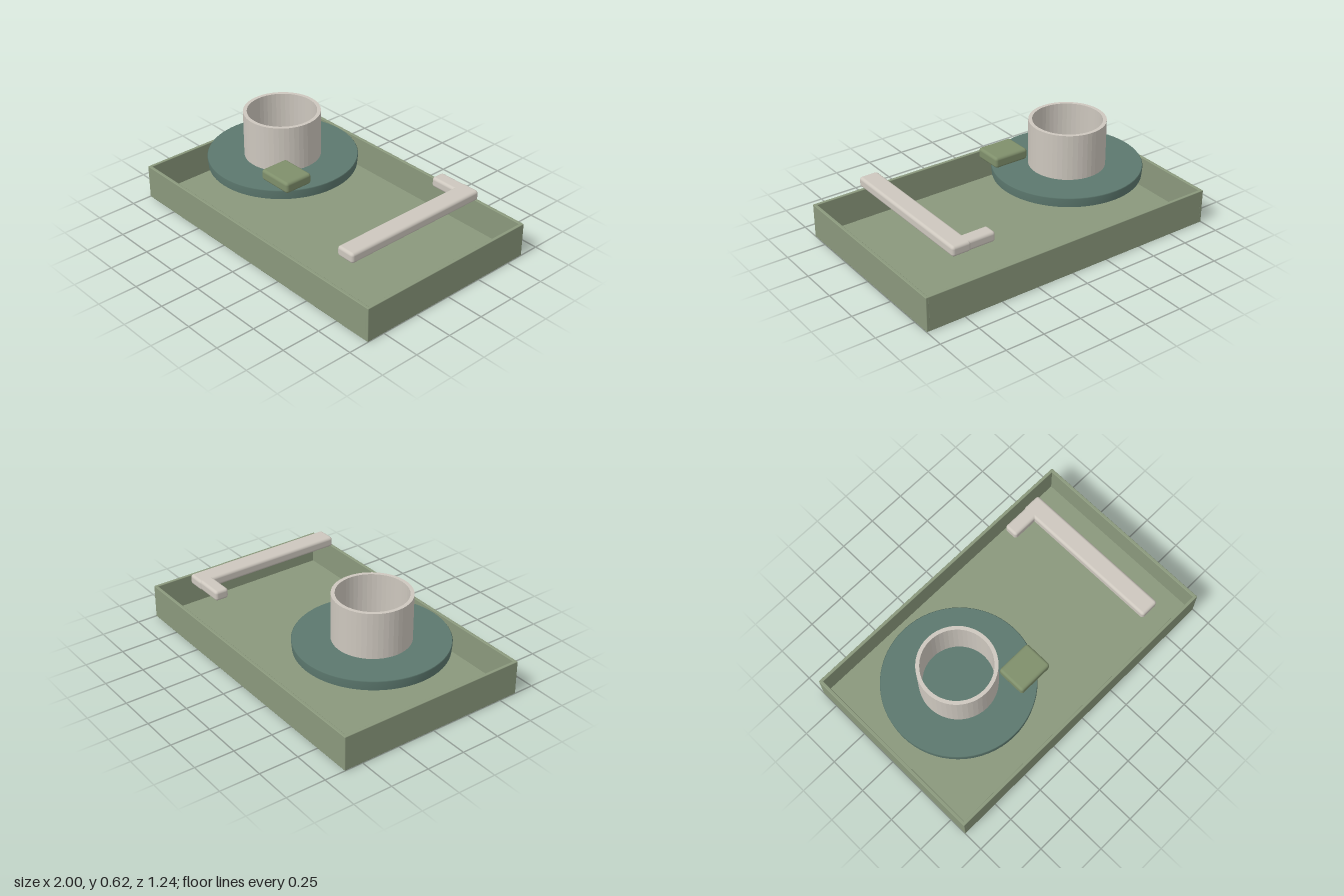
import * as THREE from 'three';
import { RoundedBoxGeometry } from 'three/addons/geometries/RoundedBoxGeometry.js';

export function createModel() {
  const model = new THREE.Group();
  const material = (name, color) => {
    const m = new THREE.MeshStandardMaterial({ color });
    m.name = name;
    return m;
  };
  const sage = material('sage', 0x8a987c);
  const moss = material('moss', 0x7f8f6b);
  const teal = material('teal', 0x5c786e);
  const cream = material('cream', 0xcdc7be);

  const add = (parent, name, geometry, mat) => {
    const mesh = new THREE.Mesh(geometry, mat);
    mesh.name = name;
    parent.add(mesh);
    return mesh;
  };
  // Rounded box given by its limits on each axis
  const block = (parent, name, [x0, x1], [y0, y1], [z0, z1], radius, mat) => {
    const geo = new RoundedBoxGeometry(x1 - x0, y1 - y0, z1 - z0, 3, radius);
    add(parent, name, geo, mat).position.set((x0 + x1) / 2, (y0 + y1) / 2, (z0 + z1) / 2);
  };

  // Shallow open tray
  const tray = new THREE.Group();
  tray.name = 'tray';
  model.add(tray);
  block(tray, 'trayFloor', [-1, 1], [0, 0.02], [-0.62, 0.62], 0.004, sage);
  for (const s of [-1, 1]) {
    block(tray, s > 0 ? 'leftWall' : 'rightWall',
      [s * 0.99 - 0.01, s * 0.99 + 0.01], [0.005, 0.22], [-0.62, 0.62], 0.004, sage);
    block(tray, s > 0 ? 'frontWall' : 'backWall',
      [-0.985, 0.985], [0.005, 0.22], [s * 0.61 - 0.01, s * 0.61 + 0.01], 0.004, sage);
  }

  // Plate with a softly chamfered lower edge
  const rim = [[0.46, 0.27], [0.465, 0.325], [0.461, 0.33]];
  const side = new THREE.LatheGeometry(rim.map(p => new THREE.Vector2(...p)), 64);
  const plate = new THREE.Group();
  plate.name = 'plate';
  plate.position.x = -0.43;
  model.add(plate);
  add(plate, 'plateRim', side, teal);
  add(plate, 'plateTop', new THREE.CircleGeometry(0.461, 64).rotateX(-Math.PI / 2), teal).position.y = 0.33;
  add(plate, 'plateUnderside', new THREE.CircleGeometry(0.46, 64).rotateX(Math.PI / 2), teal).position.y = 0.27;

  // Open cup wall standing on the plate
  const ring = new THREE.Shape().absarc(0, 0, 0.237, 0, Math.PI * 2, false);
  ring.holes.push(new THREE.Path().absarc(0, 0, 0.214, 0, Math.PI * 2, true));
  const wall = new THREE.ExtrudeGeometry(ring, { depth: 0.295, bevelEnabled: false, curveSegments: 24 });
  add(model, 'cup', wall.rotateX(-Math.PI / 2), cream).position.set(-0.43, 0.327, 0);

  // Small block beside the cup
  block(model, 'smallBlock', [-0.235, 0], [0.35, 0.42], [0.14, 0.33], 0.018, moss);

  // L-shaped bar
  const bar = new THREE.Group();
  bar.name = 'bar';
  model.add(bar);
  block(bar, 'longBar', [0.62, 0.745], [0.315, 0.38], [-0.5, 0.5], 0.018, cream);
  block(bar, 'shortBar', [0.455, 0.66], [0.315, 0.38], [-0.495, -0.405], 0.018, cream);

  return model;
}
